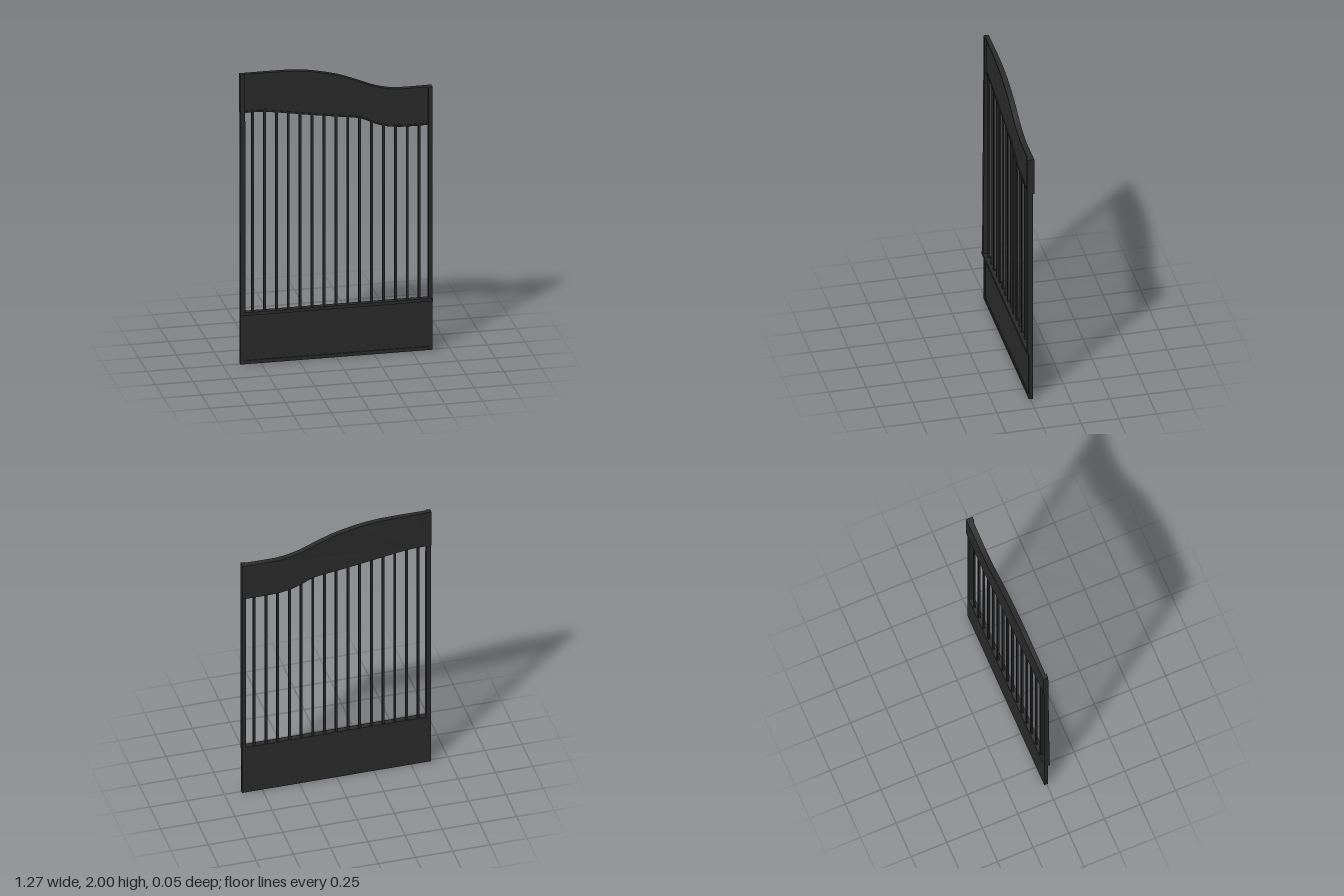
import * as THREE from 'three';

// top and lower edge of the crest panel, left to right
const TOP = [[-0.635, 2], [-0.33, 1.998], [-0.24, 1.992], [-0.15, 1.98], [0.01, 1.943], [0.127, 1.9], [0.25, 1.85], [0.354, 1.824], [0.43, 1.818], [0.635, 1.818]];
const LOW = [[-0.635, 1.732], [-0.5, 1.732], [-0.33, 1.71], [-0.15, 1.682], [0, 1.66], [0.16, 1.635], [0.25, 1.594], [0.33, 1.568], [0.43, 1.556], [0.635, 1.556]];

// height of an edge line at x, smoothed between its points
function heightAt(pts, x) {
  let i = 0;
  while (i < pts.length - 2 && x > pts[i + 1][0]) i++;
  const slope = (k) => {
    const a = pts[Math.max(k - 1, 0)], b = pts[Math.min(k + 1, pts.length - 1)];
    return (b[1] - a[1]) / (b[0] - a[0]);
  };
  const [x0, y0] = pts[i], [x1, y1] = pts[i + 1];
  const h = x1 - x0, t = (x - x0) / h, t2 = t * t, t3 = t2 * t;
  return (2 * t3 - 3 * t2 + 1) * y0 + (t3 - 2 * t2 + t) * h * slope(i)
    + (3 * t2 - 2 * t3) * y1 + (t3 - t2) * h * slope(i + 1);
}

// the crest bows slightly backwards and leans forward to the low end
const crestBack = (x) => -0.0225 + 0.0035 * -x - 0.005 * Math.max(0, 1 - ((x + 0.15) / 0.6) ** 2);
const crestFront = (x) => 0.004 + 0.007 * x;

export function createModel() {
  const gate = new THREE.Group();
  gate.name = 'gate';
  const iron = new THREE.MeshStandardMaterial({ color: 0x2b2b2b });
  iron.name = 'dark iron';

  const add = (name, geometry) => {
    const mesh = new THREE.Mesh(geometry, iron);
    mesh.name = name;
    gate.add(mesh);
    return mesh;
  };
  const box = (name, x0, x1, y0, y1, z0, z1) => {
    const g = new THREE.BoxGeometry(x1 - x0, y1 - y0, z1 - z0);
    g.translate((x0 + x1) / 2, (y0 + y1) / 2, (z0 + z1) / 2);
    return add(name, g);
  };
  // band between two height rules, with depth following front and back rules
  const band = (name, x0, x1, low, high, back, front) => {
    const n = 48, s = new THREE.Shape();
    const at = (i) => x0 + (x1 - x0) * i / n;
    s.moveTo(x0, low(x0));
    for (let i = 1; i <= n; i++) s.lineTo(at(i), low(at(i)));
    for (let i = n; i >= 0; i--) s.lineTo(at(i), high(at(i)));
    const g = new THREE.ExtrudeGeometry(s, { depth: 1, bevelEnabled: false });
    const p = g.attributes.position;
    for (let i = 0; i < p.count; i++) p.setZ(i, (p.getZ(i) < 0.5 ? back : front)(p.getX(i)));
    g.computeVertexNormals();
    add(name, g);
  };

  // crest panel with raised lips along its curved edges
  const top = (x) => heightAt(TOP, x), low = (x) => heightAt(LOW, x);
  const lipFront = (x) => crestFront(x) + 0.005;
  band('crestPanel', -0.635, 0.635, low, top, crestBack, crestFront);
  band('crestTopLip', -0.6, 0.61, (x) => top(x) - 0.012, top, crestFront, lipFront);
  band('crestLowerLip', -0.6, 0.61, low, (x) => low(x) + 0.01, crestFront, lipFront);

  // posts; the tall one thins towards its top
  const tall = box('tallPost', -0.635, -0.603, 0.34, 2, -0.016, 0.021);
  const tp = tall.geometry.attributes.position;
  for (let i = 0; i < tp.count; i++) if (tp.getY(i) > 1 && tp.getZ(i) > 0) tp.setZ(i, 0.011);
  tall.geometry.computeVertexNormals();
  box('shortPost', 0.608, 0.635, 0.34, 1.818, -0.016, 0.021);

  // upright bars, reaching up into the crest
  for (let i = 0; i < 15; i++) {
    const x = -0.551 + 0.0787 * i;
    box('bar', x - 0.008, x + 0.008, 0.34, low(x) + 0.02, -0.01, 0.003);
  }

  // kick panel: recessed plate, frame and capping rail
  box('kickPanel', -0.635, 0.635, 0, 0.345, -0.016, 0.004);
  const frame = new THREE.Shape([[-0.635, 0], [0.635, 0], [0.635, 0.338], [-0.635, 0.338]].map((p) => new THREE.Vector2(...p)));
  frame.holes.push(new THREE.Path([[-0.607, 0.024], [-0.607, 0.32], [0.613, 0.32], [0.613, 0.024]].map((p) => new THREE.Vector2(...p))));
  const fg = new THREE.ExtrudeGeometry(frame, { depth: 0.007, bevelEnabled: false });
  fg.translate(0, 0, 0.004);
  add('kickFrame', fg);
  box('cappingRail', -0.635, 0.635, 0.338, 0.36, -0.016, 0.023);

  return gate;
}
